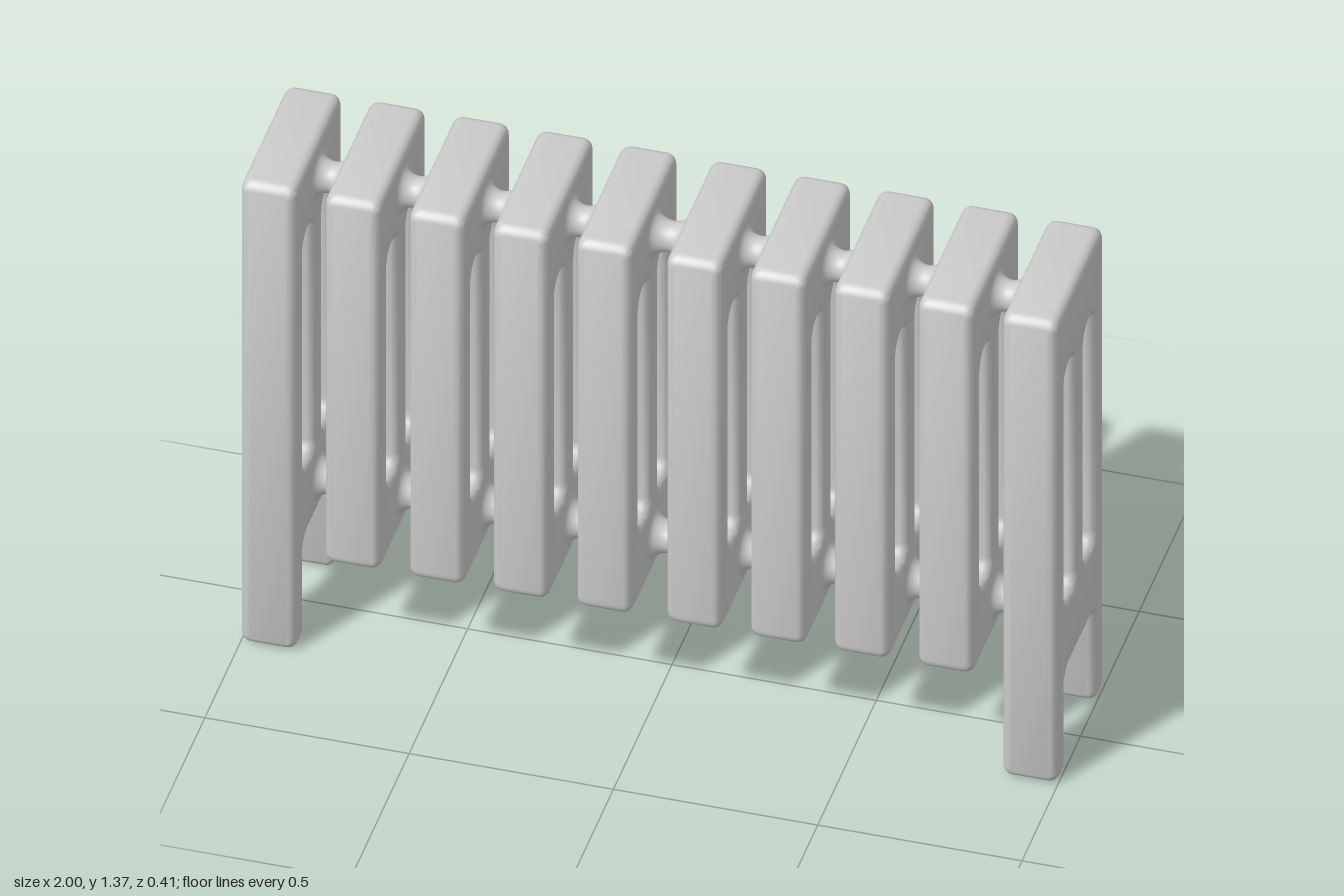
import * as THREE from 'three';
import { toCreasedNormals } from 'three/addons/utils/BufferGeometryUtils.js';

const WIDTH = 0.136, DEPTH = 0.205, TOP = 1.37, BOTTOM = 0.28, BEVEL = 0.025;
const LEG = 0.125; // inner edge of the legs and openings

// Trace a closed outline, rounding every corner with radius r.
function roundedPath(path, points, r) {
  const p = points.map(([x, y]) => new THREE.Vector2(x, y));
  p.forEach((c, i) => {
    const prev = p[(i + p.length - 1) % p.length];
    const next = p[(i + 1) % p.length];
    const a = c.clone().add(prev.clone().sub(c).setLength(r));
    const b = c.clone().add(next.clone().sub(c).setLength(r));
    if (i === 0) path.moveTo(a.x, a.y);
    else path.lineTo(a.x, a.y);
    // Cubic approximation of a quarter circle
    const c1 = a.clone().lerp(c, 0.552), c2 = b.clone().lerp(c, 0.552);
    path.bezierCurveTo(c1.x, c1.y, c2.x, c2.y, b.x, b.y);
  });
  path.closePath();
  return path;
}

// One radiator section: a rounded slab with two tall slots, optionally with feet.
function sectionGeometry(hasFeet) {
  const outline = hasFeet
    ? [[-DEPTH, 0], [-LEG, 0], [-LEG, BOTTOM], [LEG, BOTTOM], [LEG, 0], [DEPTH, 0], [DEPTH, TOP], [-DEPTH, TOP]]
    : [[-DEPTH, BOTTOM], [DEPTH, BOTTOM], [DEPTH, TOP], [-DEPTH, TOP]];
  const shape = roundedPath(new THREE.Shape(), outline, 0.03);
  for (const [a, b] of [[-LEG, -0.04], [0.04, LEG]]) {
    shape.holes.push(roundedPath(new THREE.Path(), [[a, 0.482], [a, 1.17], [b, 1.17], [b, 0.482]], 0.03));
  }
  const geometry = new THREE.ExtrudeGeometry(shape, {
    depth: WIDTH - 2 * BEVEL,
    bevelThickness: BEVEL,
    bevelSize: BEVEL,
    bevelOffset: -BEVEL,
    bevelSegments: 6,
    curveSegments: 6,
  });
  geometry.translate(0, 0, BEVEL - WIDTH / 2);
  geometry.rotateY(Math.PI / 2);
  return toCreasedNormals(geometry, 0.45);
}

// Waisted pipe along x, flaring into the sections at both ends.
function connectorGeometry(length) {
  const profile = [];
  for (let i = 0; i <= 16; i++) {
    const angle = Math.PI * (i / 16);
    profile.push(new THREE.Vector2(
      0.038 + 0.032 * (1 - Math.sin(angle)),
      -Math.cos(angle) * (length / 2 + 0.001)
    ));
  }
  return new THREE.LatheGeometry(profile, 32).rotateZ(Math.PI / 2);
}

export function createModel() {
  const group = new THREE.Group();
  group.name = 'radiator';
  const material = new THREE.MeshStandardMaterial({ color: 0xcccccc });
  const pipeMaterial = new THREE.MeshStandardMaterial({ color: 0xcccccc, side: THREE.DoubleSide });

  const add = (name, geometry, mat, x, y) => {
    const mesh = new THREE.Mesh(geometry, mat);
    mesh.name = name;
    mesh.position.set(x, y, 0);
    group.add(mesh);
  };

  const half = [0.11, 0.315, 0.52, 0.726, 0.932];
  const centres = [...half.map((x) => -x).reverse(), ...half];
  const endSection = sectionGeometry(true);
  const innerSection = sectionGeometry(false);

  // Sections, the two outer ones standing on feet
  centres.forEach((x, i) => {
    const isEnd = i === 0 || i === centres.length - 1;
    add(isEnd ? 'endSection' : 'innerSection', isEnd ? endSection : innerSection, material, x, 0);
  });

  // Upper and lower connecting pipes in every gap
  for (let i = 0; i < centres.length - 1; i++) {
    const pipe = connectorGeometry(centres[i + 1] - centres[i] - WIDTH);
    const x = (centres[i] + centres[i + 1]) / 2;
    add('upperConnector', pipe, pipeMaterial, x, 1.272);
    add('lowerConnector', pipe, pipeMaterial, x, 0.378);
  }
  return group;
}
